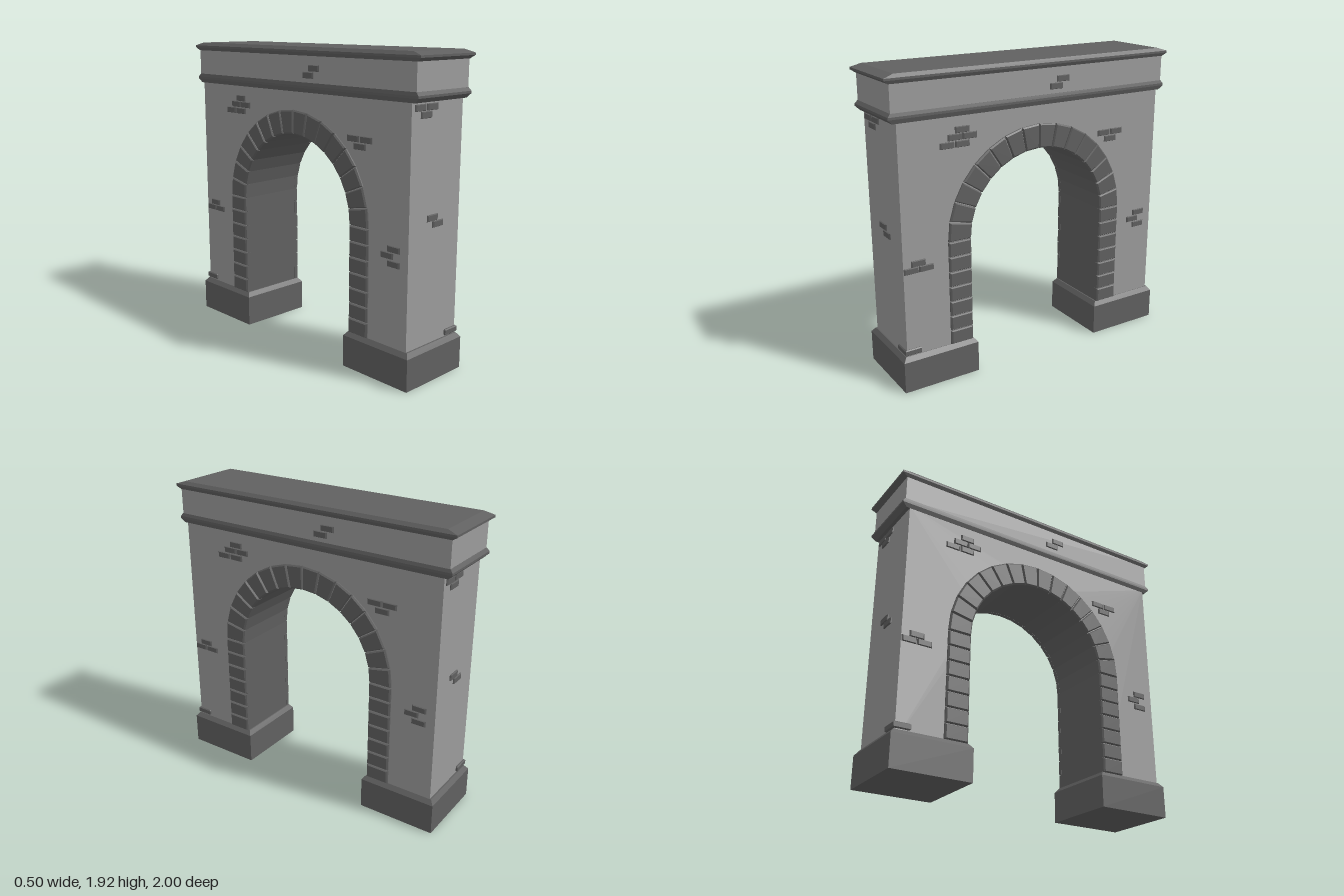
import * as THREE from 'three';

const wallMat = new THREE.MeshStandardMaterial({ color: 0x9b9b9b, flatShading: true });
const trimMat = new THREE.MeshStandardMaterial({ color: 0x606060, flatShading: true });

// Counter-clockwise rectangle from centre and half sizes
const rect = (cx, cy, hw, hh) => [[cx - hw, cy - hh], [cx + hw, cy - hh], [cx + hw, cy + hh], [cx - hw, cy + hh]];

// Closed solid through 2D outlines stacked along local z: rings = [[points, z], ...]
function loft(rings) {
  const pos = [];
  const n = rings[0][0].length;
  const put = (r, i) => pos.push(...rings[r][0][i % n], rings[r][1]);
  const last = rings.length - 1;
  for (let r = 0; r < last; r++) {
    for (let i = 0; i < n; i++) {
      put(r, i); put(r, i + 1); put(r + 1, i + 1);
      put(r, i); put(r + 1, i + 1); put(r + 1, i);
    }
  }
  for (let i = 1; i < n - 1; i++) {
    put(0, 0); put(0, i + 1); put(0, i);
    put(last, 0); put(last, i); put(last, i + 1);
  }
  const geo = new THREE.BufferGeometry();
  geo.setAttribute('position', new THREE.Float32BufferAttribute(pos, 3));
  geo.computeVertexNormals();
  return geo;
}

// Move every corner of an outline towards its centre
function inset(pts, d) {
  const cx = pts.reduce((s, p) => s + p[0], 0) / pts.length;
  const cy = pts.reduce((s, p) => s + p[1], 0) / pts.length;
  return pts.map(([x, y]) => {
    const k = d / Math.hypot(cx - x, cy - y);
    return [x + (cx - x) * k, y + (cy - y) * k];
  });
}

// Stone standing out of a face, with a bevelled outer edge
const stone = (pts, from, to, bevel) =>
  loft([[pts, from], [pts, to - bevel], [inset(pts, bevel * 1.4), to]]);

function add(parent, name, geo, mat) {
  const mesh = new THREE.Mesh(geo, mat);
  mesh.name = name;
  parent.add(mesh);
  return mesh;
}

// Horizontal band whose profile is a list of [half x, half z, y]
const band = (profile, cx = 0, cz = 0) =>
  loft(profile.map(([hx, hz, y]) => [rect(cx, -cz, hx, hz), y])).rotateX(-Math.PI / 2);

const SPRING = 0.9, INNER = 0.488, OUTER = 0.639, BASE_TOP = 0.225, STONES = 16;

// Everything that appears again, turned half way round, at the other end
function createHalf() {
  const half = new THREE.Group();
  half.name = 'half';

  add(half, 'pierBase', band([[0.25, 0.254, 0], [0.25, 0.254, 0.2], [0.228, 0.232, 0.228]], 0, 0.713), trimMat);

  // Broad face: local x runs along the wall, local z points outwards
  const face = new THREE.Group();
  face.name = 'broadFace';
  face.rotation.y = Math.PI / 2;
  half.add(face);

  // Jamb stones
  const courses = 7, step = (SPRING - BASE_TOP) / courses;
  for (const side of [-1, 1]) {
    for (let i = 0; i < courses; i++) {
      const pts = rect(side * (INNER + OUTER) / 2, BASE_TOP + (i + 0.5) * step, (OUTER - INNER) / 2, step / 2 - 0.003);
      add(face, 'jambStone', stone(pts, 0.205, 0.241, 0.008), trimMat);
    }
  }

  // Arch stones
  const gap = 0.005;
  const polar = (r, a) => [r * Math.cos(a), SPRING + r * Math.sin(a)];
  for (let i = 0; i < STONES; i++) {
    const a = (i / STONES) * Math.PI + gap, b = ((i + 1) / STONES) * Math.PI - gap;
    const pts = [polar(INNER, a), polar(OUTER, a), polar(OUTER, b), polar(INNER, b)];
    add(face, 'archStone', stone(pts, 0.205, 0.241, 0.008), trimMat);
  }

  // Loose brick clusters on the broad face
  const bricks = [
    [-0.528, 1.572], [-0.575, 1.531], [-0.478, 1.531], [-0.629, 1.488], [-0.528, 1.488],
    [0.176, 1.8], [0.127, 1.757],
    [0.506, 1.417], [0.607, 1.417], [0.558, 1.374],
    [0.829, 0.818], [0.779, 0.776], [0.829, 0.731],
    [-0.838, 0.814], [-0.885, 0.774], [-0.787, 0.774],
  ];
  for (const [u, y] of bricks) {
    add(face, 'wallBrick', stone(rect(u, y, 0.047, 0.019), 0.21, y > 1.7 ? 0.236 : 0.234, 0.006), trimMat);
  }

  // Bricks on the narrow end face, and one wrapping the lower corner
  const endBricks = [[-0.154, 1.622], [-0.051, 1.622], [-0.102, 1.58], [-0.023, 0.989], [0.026, 0.948]];
  for (const [x, y] of endBricks) {
    add(half, 'endBrick', stone(rect(x, y, 0.047, 0.019), 0.92, 0.945, 0.006), trimMat);
  }
  const corner = [[0.05, 0.047, 0.234], [0.056, 0.053, 0.24], [0.056, 0.053, 0.266], [0.05, 0.047, 0.272]];
  add(half, 'cornerBrick', band(corner, 0.179, 0.895), trimMat);
  return half;
}

// Continue a shape through the opening, from one foot over the arch to the other
function traceOpening(shape, r, foot, dir) {
  shape.lineTo(-dir * r, foot);
  shape.lineTo(-dir * r, SPRING);
  shape.absarc(0, SPRING, r, dir > 0 ? Math.PI : 0, dir > 0 ? 0 : Math.PI, dir > 0);
  shape.lineTo(dir * r, foot);
}

// Extrude a side outline across the thickness; the arc gets one facet per stone
const across = (shape, half) =>
  new THREE.ExtrudeGeometry(shape, { depth: 2 * half, bevelEnabled: false, curveSegments: STONES / 2 })
    .translate(0, 0, -half).rotateY(Math.PI / 2);

export function createModel() {
  const model = new THREE.Group();
  model.name = 'archway';

  // Wall with the arched opening
  const W = 0.935, FOOT = 0.15;
  const outline = new THREE.Shape();
  outline.moveTo(-W, FOOT);
  traceOpening(outline, 0.5, FOOT, 1);
  outline.lineTo(W, FOOT);
  outline.lineTo(W, 1.67);
  outline.lineTo(-W, 1.67);
  outline.closePath();
  add(model, 'wall', across(outline, 0.225), wallMat);

  // Dark lining of the opening
  const lining = new THREE.Shape();
  lining.moveTo(-0.505, FOOT);
  traceOpening(lining, INNER + 0.001, FOOT, 1);
  traceOpening(lining, 0.505, FOOT, -1);
  lining.closePath();
  add(model, 'archLining', across(lining, 0.222), trimMat);

  // Bands above the wall
  add(model, 'lowerMoulding', band([[0.226, 0.958, 1.652], [0.235, 0.985, 1.678], [0.235, 0.985, 1.692], [0.229, 0.968, 1.712]]), trimMat);
  add(model, 'frieze', band([[0.228, 0.967, 1.7], [0.228, 0.967, 1.885]]), wallMat);
  add(model, 'topCornice', band([[0.23, 0.97, 1.872], [0.24, 1, 1.892], [0.24, 1, 1.905], [0.222, 0.935, 1.925]]), trimMat);

  // Two matching halves, turned half way round from each other
  for (const turn of [0, Math.PI]) {
    const half = createHalf();
    half.rotation.y = turn;
    model.add(half);
  }
  return model;
}
